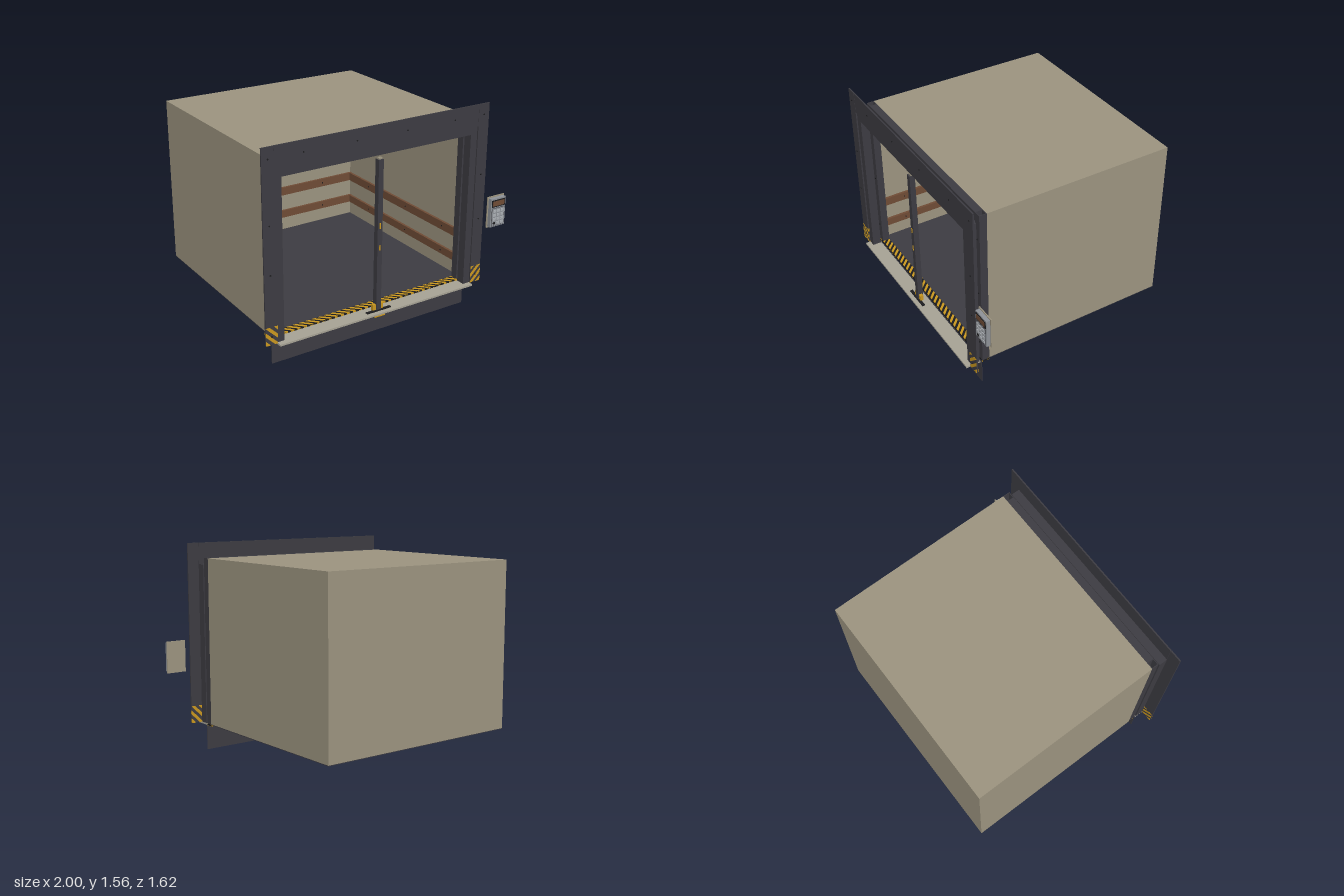
import * as THREE from 'three';

const mat = (name, color, side = THREE.FrontSide) => {
  const m = new THREE.MeshStandardMaterial({ color, side });
  m.name = name;
  return m;
};

export function createModel() {
  const model = new THREE.Group();
  const beige = mat('beige panel', 0x9a927e);
  const steel = mat('dark steel', 0x3c3b41);
  const wood = mat('brown wood', 0x6e4b35);
  const yellow = mat('hazard yellow', 0xc8961e, THREE.DoubleSide);
  const black = mat('black', 0x1c1c1e);
  const sillMetal = mat('sill metal', 0xa5a193);
  const grey = mat('control grey', 0x8c9096);
  const lightGrey = mat('button grey', 0xa9adb2);

  const group = (name, parent = model) => {
    const g = new THREE.Group();
    g.name = name;
    parent.add(g);
    return g;
  };
  const add = (name, geo, m, parent) => {
    const mesh = new THREE.Mesh(geo, m);
    mesh.name = name;
    parent.add(mesh);
    return mesh;
  };
  // Box given by its limits on each axis
  const box = (name, x0, x1, y0, y1, z0, z1, m, parent) => {
    const mesh = add(name, new THREE.BoxGeometry(x1 - x0, y1 - y0, z1 - z0), m, parent);
    mesh.position.set((x0 + x1) / 2, (y0 + y1) / 2, (z0 + z1) / 2);
    return mesh;
  };
  // Bolt head facing the front
  const bolt = (x, y, z, parent, r = 0.005) => {
    const b = add('bolt', new THREE.CylinderGeometry(r, r, 0.006, 10), black, parent);
    b.rotation.x = Math.PI / 2;
    b.position.set(x, y, z);
  };
  // Keep the part of a polygon where s * (x + y) <= s * limit
  const clip = (pts, limit, s) => {
    const out = [];
    pts.forEach((p, i) => {
      const q = pts[(i + 1) % pts.length];
      const a = s * (limit - p.x - p.y), b = s * (limit - q.x - q.y);
      if (a >= 0) out.push(p);
      if (a * b < 0) out.push(p.clone().lerp(q, a / (a - b)));
    });
    return out;
  };
  // Diagonal yellow stripes filling a w by h rectangle
  const stripes = (w, h, pitch, depth, parent) => {
    const rect = [[0, 0], [w, 0], [w, h], [0, h]].map(p => new THREE.Vector2(...p));
    for (let a = pitch * 0.1; a < w + h; a += pitch) {
      const pts = clip(clip(rect, a + pitch / 2, 1), a, -1);
      if (pts.length < 3) continue;
      add('hazard stripe', new THREE.ExtrudeGeometry(new THREE.Shape(pts),
        { depth, bevelEnabled: false }), yellow, parent);
    }
  };

  const L = -0.91, R = 0.715, B = -0.81, F = 0.625, t = 0.005;

  // Cabin shell
  const cabin = group('cabin');
  box('cabinFloor', L, R, 0.2, 0.2 + t, B, F, steel, cabin);
  box('cabinRoof', L, R, 1.45 - t, 1.45, B, F, beige, cabin);
  box('backWall', L, R, 0.2 + t, 1.45 - t, B, B + t, beige, cabin);
  box('rightWall', L, L + t, 0.2 + t, 1.45 - t, B + t, F, beige, cabin);
  box('leftWall', R - t, R, 0.2 + t, 1.45 - t, B + t, F, beige, cabin);

  // Wooden bump rails on three walls
  const rails = group('bumpRails');
  for (const [y0, y1] of [[0.315, 0.375], [0.51, 0.575]]) {
    box('backRail', L + t, R - t, y0, y1, B + t, B + 0.025, wood, rails);
    box('rightRail', L + t, L + 0.025, y0, y1, B + 0.025, F - 0.01, wood, rails);
    box('leftRail', R - 0.025, R - t, y0, y1, B + 0.025, F - 0.01, wood, rails);
    for (const x of [-0.62, 0.42]) bolt(x, (y0 + y1) / 2, B + 0.026, rails);
    for (const z of [-0.5, 0, 0.45]) for (const x of [L + 0.026, R - 0.026]) {
      const b = add('bolt', new THREE.CylinderGeometry(0.005, 0.005, 0.006, 10), black, rails);
      b.rotation.z = Math.PI / 2;
      b.position.set(x, (y0 + y1) / 2, z);
    }
  }

  // Cabin entrance: hollow jambs, lintel and beige header panel
  const entrance = group('cabinEntrance');
  for (const x0 of [L, R - 0.055]) {
    const x1 = x0 + 0.055;
    box('jambFront', x0, x1, 0.2, 1.45, 0.675, 0.68, steel, entrance);
    box('jambBack', x0, x1, 0.2, 1.45, F, F + t, steel, entrance);
    box('jambSide', x0, x0 + t, 0.2, 1.45, F + t, 0.675, steel, entrance);
    box('jambSide', x1 - t, x1, 0.2, 1.45, F + t, 0.675, steel, entrance);
    for (const y of [0.36, 0.8, 1.25]) bolt(x0 + 0.0275, y, 0.682, entrance);
  }
  box('lintel', L + 0.055, R - 0.055, 1.38, 1.45, F, 0.68, steel, entrance);
  box('headerPanel', L + 0.055, R - 0.055, 1.31, 1.38, F, 0.63, beige, entrance);
  for (let i = 0; i < 5; i++) bolt(-0.69 + i * 0.297, 1.42, 0.682, entrance);

  // Striped cabin sill and the toe guard below it
  const sill = group('cabinSill');
  box('sillPlate', L, R, 0.19, 0.202, F, 0.68, black, sill);
  const sillStripes = group('sillStripes', sill);
  stripes(R - L, 0.055, 0.05, 0.016, sillStripes);
  sillStripes.rotation.x = -Math.PI / 2;
  sillStripes.position.set(L, 0.188, 0.68);
  box('toeGuard', L, R, 0, 0.19, 0.684, 0.688, steel, model);

  // Landing door frame
  const frame = group('landingFrame');
  box('jamb', L, -0.855, 0.2, 1.4, 0.7, 0.765, steel, frame);
  box('jamb', 0.655, 0.71, 0.2, 1.4, 0.7, 0.765, steel, frame);
  box('frameHead', -0.855, 0.655, 1.345, 1.4, 0.7, 0.765, steel, frame);
  box('landingSill', L, 0.71, 0.187, 0.2, 0.695, 0.805, sillMetal, frame);

  // Flat surround plates with hazard corners
  const surround = group('surround');
  box('headerPlate', L + 0.001, 0.709, 1.4, 1.558, 0.764, 0.774, steel, surround);
  for (const [x0, flip] of [[-1, 1], [0.71, -1]]) {
    box('sidePlate', x0, x0 + 0.09, 0.2, 1.558, 0.765, 0.775, steel, surround);
    const corner = group('hazardCorner', surround);
    stripes(0.09, 0.13, 0.062, 0.014, corner);
    corner.scale.x = flip;
    corner.position.set(flip > 0 ? x0 : x0 + 0.09, 0.2, 0.763);
    for (const y of [0.26, 0.7, 1.04, 1.48]) bolt(x0 + 0.045, y, 0.777, surround);
  }
  // Mirror stripe direction so both corners slope down towards the opening
  surround.children.filter(c => c.name === 'hazardCorner').forEach(c => {
    const left = c.position.x > 0;
    c.scale.x = 1;
    c.rotation.y = left ? Math.PI : 0;
    c.position.set(left ? 0.8 : -1, 0.2, left ? 0.777 : 0.763);
  });
  for (let i = 0; i < 4; i++) bolt(-0.7 + i * 0.4, 1.48, 0.776, surround);

  // Centre post with handles, foot bracket and arm
  const post = group('centrePost');
  box('postBar', -0.12, -0.081, 0.2, 1.31, 0.725, 0.765, steel, post);
  box('postCap', -0.115, -0.086, 1.31, 1.322, 0.735, 0.755, beige, post);
  box('handle', -0.105, -0.099, 0.82, 0.86, 0.765, 0.77, yellow, post);
  box('handle', -0.105, -0.099, 0.66, 0.7, 0.765, 0.77, yellow, post);
  box('footBracket', -0.143, -0.12, 0.203, 0.25, 0.735, 0.76, yellow, post);
  box('footBracket', -0.081, -0.058, 0.203, 0.25, 0.735, 0.76, yellow, post);
  box('footPlate', -0.143, -0.058, 0.162, 0.187, 0.775, 0.783, yellow, post);
  box('footArm', -0.2, 0, 0.201, 0.208, 0.752, 0.774, black, post);

  // Wall control box
  const control = group('controlBox');
  box('wallPlate', 0.842, 0.995, 0.605, 0.842, 0.763, 0.771, beige, control);
  box('controlBody', 0.851, 0.986, 0.615, 0.833, 0.771, 0.8, grey, control);
  box('displayFrame', 0.858, 0.979, 0.768, 0.822, 0.8, 0.803, black, control);
  box('display', 0.866, 0.971, 0.776, 0.814, 0.803, 0.805, wood, control);
  box('keypad', 0.86, 0.977, 0.622, 0.76, 0.8, 0.802, steel, control);
  box('keypadFace', 0.863, 0.974, 0.625, 0.757, 0.802, 0.803, grey, control);
  for (let i = 0; i < 3; i++) for (let j = 0; j < 4; j++) {
    const x = 0.87 + i * 0.035, y = 0.634 + j * 0.031;
    if (i === 0 && j === 0) bolt(x + 0.013, y + 0.01, 0.804, control, 0.01);
    else box('button', x, x + 0.027, y, y + 0.02, 0.803, 0.807, lightGrey, control);
  }
  return model;
}
